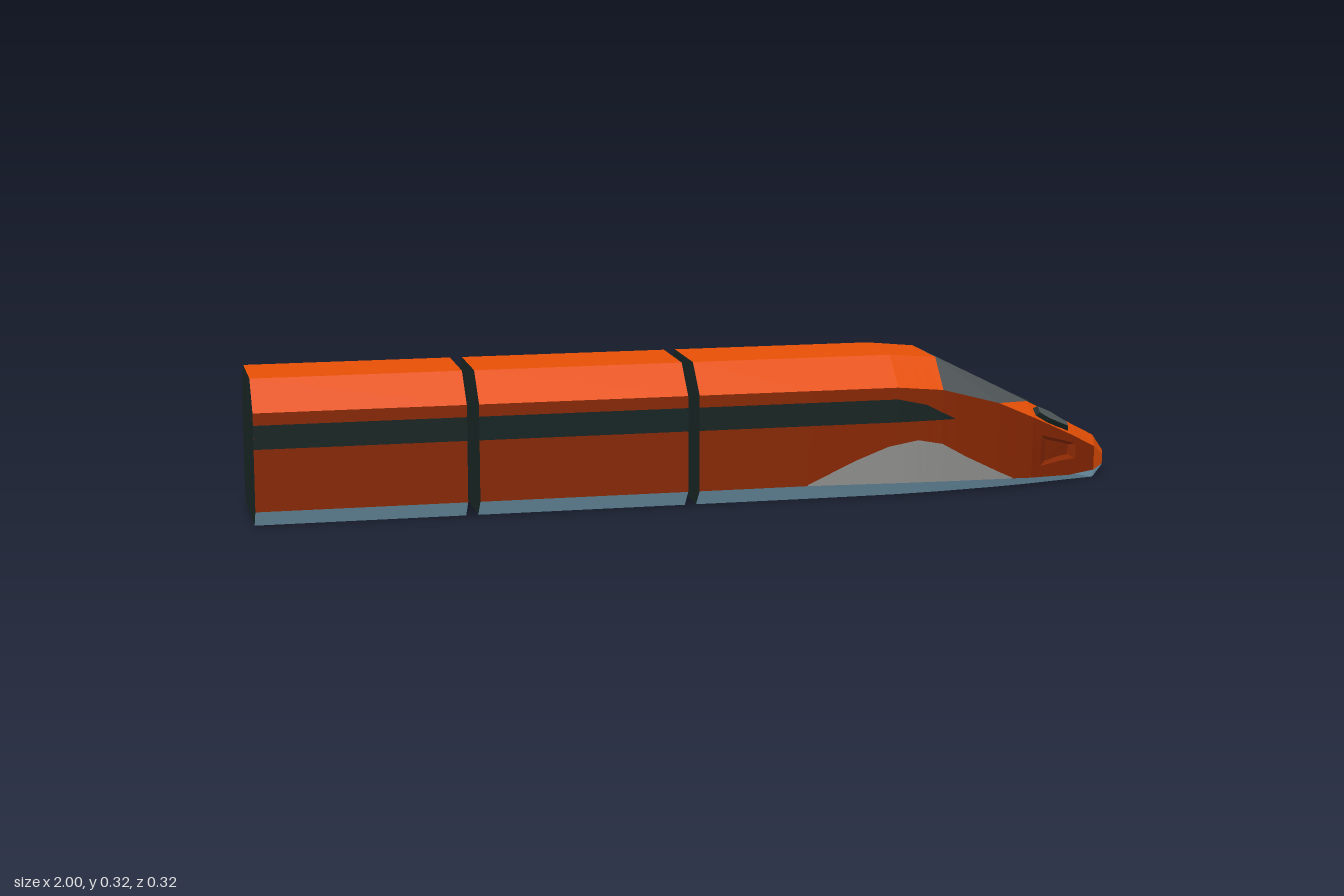
import * as THREE from 'three';

const mat = (name, color) => {
  const m = new THREE.MeshStandardMaterial({ color });
  m.name = name;
  return m;
};

// Half cross-sections along the train: [x, then (y, z) of roof edge, belt, sill and keel]
const SECTIONS = [
  [-1.0, 0.32, 0.093, 0.255, 0.16, 0.037, 0.16, 0, 0.125],
  [0.25, 0.32, 0.093, 0.255, 0.16, 0.037, 0.16, 0, 0.125],
  [0.45, 0.32, 0.093, 0.255, 0.16, 0.034, 0.159, 0, 0.122],
  [0.56, 0.31, 0.087, 0.244, 0.152, 0.031, 0.15, 0, 0.113],
  [0.70, 0.24, 0.077, 0.205, 0.134, 0.026, 0.13, 0, 0.094],
  [0.79, 0.195, 0.07, 0.165, 0.118, 0.021, 0.11, 0, 0.077],
  [0.90, 0.137, 0.044, 0.112, 0.074, 0.014, 0.066, 0, 0.05],
  [0.97, 0.10, 0.028, 0.075, 0.043, 0.018, 0.04, 0, 0.034],
  [1.0, 0.06, 0.016, 0.05, 0.018, 0.027, 0.017, 0.024, 0.015],
];

// Interpolates rows of a table by their first entry
function sample(table, x) {
  let i = 1;
  while (i < table.length - 1 && x > table[i][0]) i++;
  const a = table[i - 1], b = table[i];
  const t = (x - a[0]) / (b[0] - a[0]);
  return a.map((v, k) => v + (b[k] - v) * t);
}

// Hull point: s runs 0 roof edge, 1 belt, 2 sill, 3 keel
function hull(x, s) {
  const r = sample(SECTIONS, x);
  const i = Math.min(2, Math.floor(s)), t = s - i, k = 1 + 2 * i;
  return [x, r[k] + (r[k + 2] - r[k]) * t, r[k + 1] + (r[k + 3] - r[k + 1]) * t];
}

// Height on the side wall turned into s
function sideS(x, y) {
  const r = sample(SECTIONS, x);
  return 1 + (r[3] - y) / (r[3] - r[5]);
}

const flip = (p) => [p[0], p[1], -p[2]];
const shift = (p, dx, dy, dz) => [p[0] + dx, p[1] + dy, p[2] + dz];

// Collects flat polygons into one mesh
class Faces {
  constructor() { this.pos = []; }
  poly(...p) {
    for (let i = 1; i < p.length - 1; i++) this.pos.push(...p[0], ...p[i], ...p[i + 1]);
  }
  both(...p) {
    this.poly(...p);
    this.poly(...p.map(flip).reverse());
  }
  // Mirrored band between two lines of s, lifted off the hull
  band(xs, top, bottom, lift = 0) {
    const at = (x, f) => shift(hull(x, typeof f === 'number' ? f : f(x)), 0, 0, lift);
    for (let i = 1; i < xs.length; i++) {
      const a = xs[i - 1], b = xs[i];
      this.both(at(a, top), at(a, bottom), at(b, bottom), at(b, top));
    }
  }
  // Full width strip at roof or keel
  across(xs, s) {
    for (let i = 1; i < xs.length; i++) {
      const a = hull(xs[i - 1], s), b = hull(xs[i], s);
      const q = [flip(a), a, b, flip(b)];
      this.poly(...(s === 0 ? q : q.reverse()));
    }
  }
  cap(x, forward) {
    const half = [0, 1, 2, 3].map((s) => hull(x, s));
    const ring = [...half, ...half.map(flip).reverse()];
    this.poly(...(forward ? ring : ring.reverse()));
  }
  mesh(name, material) {
    const g = new THREE.BufferGeometry();
    g.setAttribute('position', new THREE.Float32BufferAttribute(this.pos, 3));
    g.computeVertexNormals();
    const m = new THREE.Mesh(g, material);
    m.name = name;
    return m;
  }
}

// Stations shared by the hull and its painted plates
const STATIONS = [0.24, 0.25, 0.35, 0.43, 0.45, 0.5, 0.52, 0.56, 0.59, 0.62, 0.7, 0.74,
  0.79, 0.815, 0.87, 0.9, 0.915, 0.97, 1];
const span = (a, b) => [a, ...STATIONS.filter((x) => x > a + 1e-6 && x < b - 1e-6), b];

export function createModel() {
  const train = new THREE.Group();
  train.name = 'train';
  const orange = mat('orange paint', 0xe85006);
  const rust = mat('dark rust paint', 0x8a2803);
  const steel = mat('blue grey skirt', 0x89b8d2);
  const black = mat('black trim', 0x172524);
  const glass = mat('windshield grey', 0x505658);
  const pale = mat('pale grey panel', 0x90908e);

  // Carriages, the last one running into the nose
  const stripeTop = [[-1, 0.228], [0.45, 0.228], [0.52, 0.212], [0.59, 0.176]];
  [[-1, -0.535], [-0.508, -0.038], [-0.012, 1]].forEach(([x0, x1], n) => {
    const car = new THREE.Group();
    car.name = ['rearCar', 'middleCar', 'leadCar'][n];
    const lead = n === 2;
    const roof = new Faces(), sides = new Faces(), skirt = new Faces();
    const ends = new Faces(), stripe = new Faces();
    const roofEnd = lead ? 0.56 : x1;
    roof.across(span(x0, roofEnd), 0);
    roof.band(span(x0, roofEnd), 0, 1);
    sides.band(span(x0, lead ? 0.815 : x1), 1, 2);
    skirt.band(span(x0, x1), 2, 3);
    skirt.across(span(x0, x1), 3);
    ends.cap(x0, false);
    if (!lead) ends.cap(x1, true);
    stripe.band(span(x0, lead ? 0.59 : x1), (x) => sideS(x, sample(stripeTop, x)[1]),
      (x) => sideS(x, 0.175), 0.001);
    if (lead) addNoseSides(sides);
    car.add(roof.mesh('roof', orange), sides.mesh('sideWalls', rust),
      skirt.mesh('skirt', steel), ends.mesh('endWalls', black),
      stripe.mesh('windowBand', black));
    train.add(car);
  });

  // Windshield wrapping over the roof and its chamfers
  const shield = new Faces();
  shield.across([0.56, 0.7, 0.79], 0);
  shield.band([0.56, 0.7], 0, 1);
  shield.both(hull(0.7, 0), hull(0.7, 1), hull(0.79, 0));

  // Nose top and tip
  const nose = new Faces();
  nose.both(hull(0.79, 0), hull(0.7, 1), hull(0.79, 1));
  nose.across(span(0.79, 1), 0);
  nose.band(span(0.79, 1), 0, 1);
  nose.band([0.97, 1], 1, 2);
  nose.cap(1, true);

  // Pale panel low on each side
  const crest = [[0.24, 0.04], [0.35, 0.09], [0.43, 0.12], [0.5, 0.131], [0.56, 0.119],
    [0.62, 0.085], [0.7, 0.045], [0.74, 0.026]];
  const panel = new Faces();
  panel.band(span(0.24, 0.74), (x) => Math.min(2, sideS(x, sample(crest, x)[1])), 2, 0.001);

  // Raised headlight pods on the nose chamfers
  const rim = new Faces(), lamp = new Faces();
  const outline = [[0.8, 0.3], [0.8, 0.78], [0.83, 0.92], [0.895, 0.8], [0.895, 0.42], [0.84, 0.2]];
  const base = outline.map(([x, s]) => shift(hull(x, s), -0.001, -0.002, -0.001));
  const raised = outline.map(([x, s]) =>
    shift(hull(0.843 + (x - 0.843) * 0.85, 0.57 + (s - 0.57) * 0.8), 0.004, 0.009, 0.005));
  base.forEach((p, i) => {
    const j = (i + 1) % base.length;
    rim.both(p, base[j], raised[j], raised[i]);
  });
  lamp.both(...raised);

  train.add(shield.mesh('windshield', glass), nose.mesh('nose', orange),
    panel.mesh('sidePanels', pale), rim.mesh('headlightRims', black),
    lamp.mesh('headlightLenses', glass));
  return train;
}

// Nose side walls with a recessed intake on each side
function addNoseSides(sides) {
  const top = (x) => 1.25 - (x - 0.815) * 0.7;
  const bottom = (x) => 1.8 - (x - 0.815) * 2.3;
  const xs = span(0.815, 0.915);
  sides.band(xs, 1, top);
  sides.band(xs, bottom, 2);
  sides.band(span(0.915, 0.97), 1, 2);
  const rimPoints = [
    ...xs.map((x) => hull(x, bottom(x))),
    ...xs.map((x) => hull(x, top(x))).reverse(),
  ];
  const mid = hull(0.865, 1.45);
  const floor = rimPoints.map((p) =>
    shift(p.map((v, k) => (k < 2 ? mid[k] + (v - mid[k]) * 0.7 : v)), 0, 0, -0.014));
  rimPoints.forEach((p, i) => {
    const j = (i + 1) % rimPoints.length;
    sides.both(p, rimPoints[j], floor[j], floor[i]);
  });
  sides.both(...floor);
}
